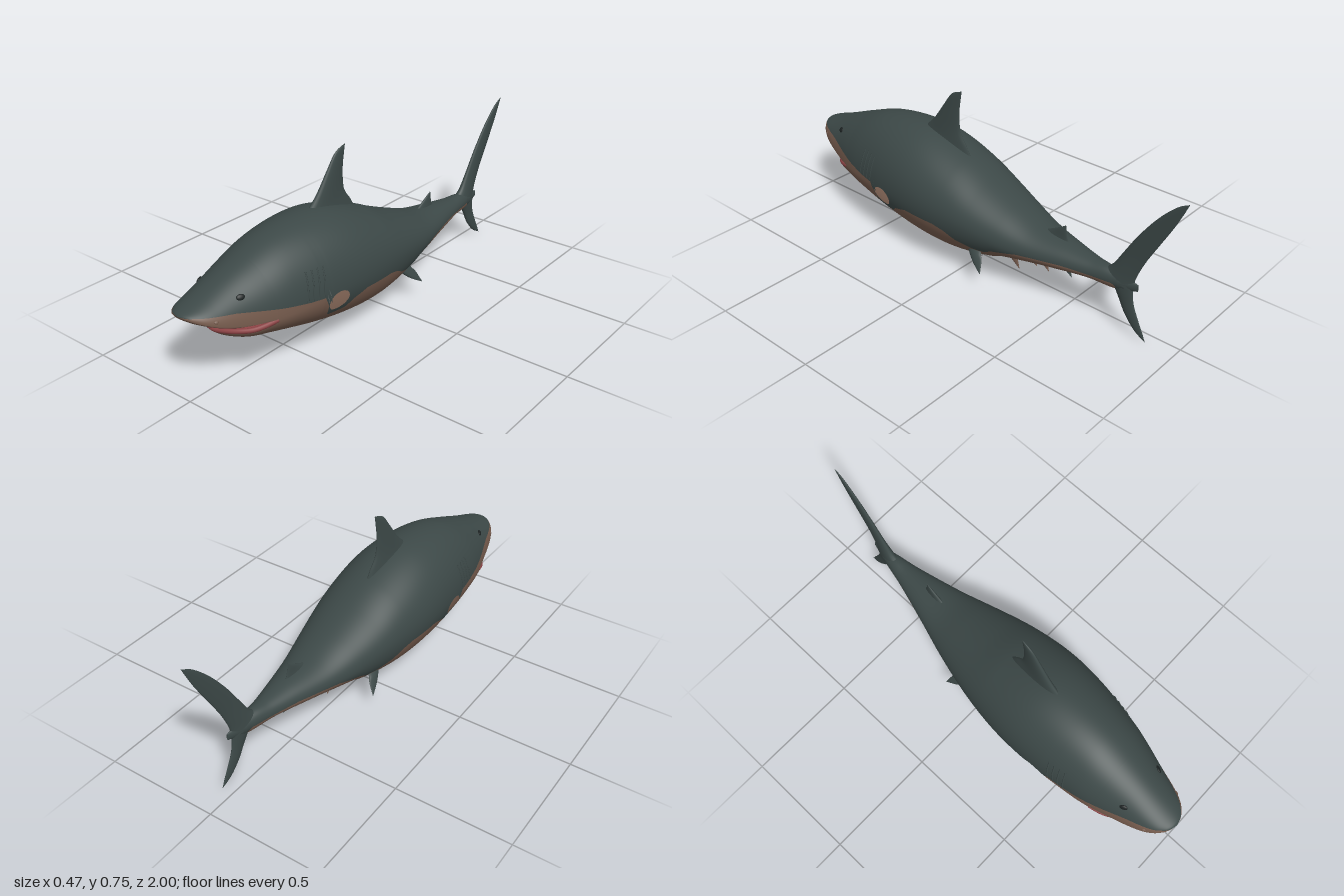
import * as THREE from 'three';

const mat = (name, color, side = THREE.DoubleSide) => {
  const m = new THREE.MeshStandardMaterial({ color, side });
  m.name = name;
  return m;
};

// Smooth curve through [position, value] keys, ascending
function track(keys) {
  const n = keys.length - 1;
  const slope = (i) => {
    const a = keys[Math.max(i - 1, 0)], b = keys[Math.min(i + 1, n)];
    return (b[1] - a[1]) / (b[0] - a[0]);
  };
  return (x) => {
    let i = 0;
    while (i < n - 1 && x > keys[i + 1][0]) i++;
    const [x0, v0] = keys[i], [x1, v1] = keys[i + 1], d = x1 - x0;
    const t = Math.min(Math.max((x - x0) / d, 0), 1), s = 1 - t;
    return v0 * (1 + 2 * t) * s * s + slope(i) * d * t * s * s
      + v1 * t * t * (3 - 2 * t) - slope(i + 1) * d * t * t * s;
  };
}

// Straight-line version for the hard colour border
const steps = (keys) => (x) => {
  let i = 0;
  while (i < keys.length - 2 && x > keys[i + 1][0]) i++;
  const [a, va] = keys[i], [b, vb] = keys[i + 1];
  return va + (vb - va) * Math.min(Math.max((x - a) / (b - a), 0), 1);
};

const midX = (z) => 0.013 - 0.043 * z; // slight sideways bend of the spine

const width = track([[-0.82, 0.004], [-0.75, 0.022], [-0.7, 0.034], [-0.6, 0.055], [-0.4, 0.108], [-0.2, 0.165],
  [0, 0.21], [0.2, 0.233], [0.4, 0.227], [0.6, 0.2], [0.69, 0.18], [0.8, 0.146], [0.9, 0.113],
  [0.95, 0.086], [0.98, 0.055], [0.993, 0.03], [1, 0.002]]);
const top = track([[-0.82, 0.24], [-0.68, 0.265], [-0.61, 0.267], [-0.5, 0.28], [-0.34, 0.303], [-0.21, 0.348],
  [-0.075, 0.403], [0.06, 0.465], [0.25, 0.525], [0.4, 0.535], [0.567, 0.513], [0.727, 0.457],
  [0.89, 0.392], [0.96, 0.367], [0.99, 0.355], [1, 0.347]]);
const bottom = track([[-0.82, 0.21], [-0.72, 0.182], [-0.61, 0.183], [-0.5, 0.172], [-0.34, 0.148], [-0.21, 0.118],
  [-0.155, 0.092], [-0.02, 0.059], [0.11, 0.048], [0.3, 0.064], [0.46, 0.096], [0.62, 0.139], [0.69, 0.157]]);
const middle = track([[-0.82, 0.225], [-0.7, 0.222], [-0.3, 0.22], [0, 0.26], [0.3, 0.28], [0.6, 0.266], [0.69, 0.262]]);
const colourLine = steps([[-0.82, 0.18], [-0.74, 0.18], [-0.72, 0.215], [-0.5, 0.22], [-0.31, 0.21], [-0.19, 0.18],
  [-0.15, 0.157], [-0.1, 0.157], [-0.02, 0.18], [0.03, 0.21], [0.085, 0.225], [0.245, 0.23], [0.32, 0.205],
  [0.35, 0.175], [0.44, 0.175], [0.46, 0.23], [0.475, 0.275], [0.54, 0.28], [0.67, 0.3], [0.84, 0.333], [0.97, 0.346], [1, 0.346]]);

const headMid = track([[0.69, 0.262], [0.8, 0.272], [0.89, 0.295], [0.96, 0.325], [1, 0.347]]);
const headLow = track([[0.69, 0.262], [0.78, 0.262], [0.835, 0.262], [0.89, 0.28], [0.96, 0.312], [0.99, 0.332], [1, 0.346]]);
const jawMid = track([[0.69, 0.262], [0.77, 0.246], [0.83, 0.236], [0.845, 0.226]]);
const jawLow = track([[0.69, 0.157], [0.755, 0.175], [0.81, 0.194], [0.835, 0.208], [0.845, 0.225]]);
const jawWidth = track([[0.69, 0.18], [0.74, 0.164], [0.78, 0.142], [0.815, 0.1], [0.835, 0.055], [0.845, 0.002]]);

// Sections: half width, middle height, height above and below the middle, colour border
const bodySection = (z) => ({ w: width(z), yc: middle(z), hu: top(z) - middle(z), hl: middle(z) - bottom(z), line: colourLine(z) });
const headSection = (z) => ({ w: width(z), yc: headMid(z), hu: top(z) - headMid(z), hl: headMid(z) - headLow(z), line: colourLine(z) });
const jawSection = (z) => ({ w: jawWidth(z), yc: jawMid(z), hu: 0.0005, hl: jawMid(z) - jawLow(z), line: jawMid(z) });

function sidePoint(section, z, y, side) {
  const s = section(z), v = (y - s.yc) / (y > s.yc ? s.hu : s.hl);
  return new THREE.Vector3(midX(z) + side * s.w * Math.sqrt(Math.max(0, 1 - v * v)), y, z);
}

// Round openings in both flanks
const hole = { z: 0.402, y: 0.235, rz: 0.052, ry: 0.041 };

// Closed loft with an upper and a lower colour
function loft(name, section, z0, z1, rows, materials, open = false) {
  const K = 72, M = 120, pos = [], dist = [], groups = [[], []];
  for (let i = 0; i <= rows; i++) {
    const t = i / rows, z = z0 + (z1 - z0) * (open ? t : Math.sin(t * Math.PI / 2));
    const s = section(z), d = s.line - s.yc;
    const aL = Math.acos(THREE.MathUtils.clamp(d / (d > 0 ? s.hu : s.hl), -0.999, 0.999));
    for (let j = 0; j < M; j++) {
      const a = j <= K ? -aL + 2 * aL * j / K : aL + (2 * Math.PI - 2 * aL) * (j - K) / (M - K);
      const c = Math.cos(a);
      let p = new THREE.Vector3(midX(z) + s.w * Math.sin(a), s.yc + c * (c > 0 ? s.hu : s.hl), z);
      let r = 9;
      if (open) {
        const dz = (z - hole.z) / hole.rz, dy = (p.y - hole.y) / hole.ry;
        r = Math.hypot(dz, dy);
        if (r > 0.8 && r < 1.14) {
          p = sidePoint(section, hole.z + dz / r * hole.rz, hole.y + dy / r * hole.ry, Math.sign(Math.sin(a)));
          r = 1;
        }
      }
      pos.push(p.x, p.y, p.z);
      dist.push(r);
    }
  }
  for (let i = 0; i < rows; i++) for (let j = 0; j < M; j++) {
    const p = i * M + j, q = i * M + (j + 1) % M, r = p + M, s = q + M;
    for (const tri of [[p, r, q], [q, r, s]])
      if (tri.some((k) => dist[k] > 1.001)) groups[j < K ? 0 : 1].push(...tri);
  }
  const g = new THREE.BufferGeometry();
  g.setAttribute('position', new THREE.Float32BufferAttribute(pos, 3));
  g.setIndex([...groups[0], ...groups[1]]);
  g.addGroup(0, groups[0].length, 0);
  g.addGroup(groups[0].length, groups[1].length, 1);
  g.computeVertexNormals();
  const mesh = new THREE.Mesh(g, materials);
  mesh.name = name;
  return mesh;
}

// Fin from rows of [front z, front y, rear z, rear y, half thickness], root to tip
function fin(name, rows, material, xOf = midX) {
  const cols = [0, 1, 2, 3, 4].map((c) => track(rows.map((r, i) => [i, r[c]])));
  const N = 24, M = 20, pos = [], index = [];
  for (let i = 0; i <= N; i++) {
    const [zl, yl, zt, yt, th] = cols.map((f) => f(i / N * (rows.length - 1)));
    for (let j = 0; j < M; j++) {
      const a = j / M * Math.PI * 2, c = (1 - Math.cos(a)) / 2;
      const z = zl + (zt - zl) * c;
      pos.push(xOf(z) + Math.max(th, 0) * Math.sin(a) * (1.2 - 0.5 * c), yl + (yt - yl) * c, z);
      if (i < N) {
        const p = i * M + j, q = i * M + (j + 1) % M;
        index.push(p, q, p + M, q, q + M, p + M);
      }
    }
  }
  const g = new THREE.BufferGeometry();
  g.setAttribute('position', new THREE.Float32BufferAttribute(pos, 3));
  g.setIndex(index);
  g.computeVertexNormals();
  const mesh = new THREE.Mesh(g, material);
  mesh.name = name;
  return mesh;
}

export function createModel() {
  const model = new THREE.Group();
  model.name = 'shark';
  const grey = mat('slate grey skin', 0x3c4847), brown = mat('brown belly', 0x745a4c);
  const red = mat('red mouth', 0x8e4446), dark = mat('dark eye', 0x1c2222);

  // Body, snout and lower jaw
  model.add(loft('body', bodySection, -0.82, 0.69, 170, [grey, brown], true));
  model.add(loft('snout', headSection, 0.69, 1, 50, [grey, brown]));
  model.add(loft('lowerJaw', jawSection, 0.69, 0.845, 30, [red, brown]));

  // Lower lip around the jaw rim
  const rim = [0.69, 0.74, 0.78, 0.815, 0.835].map((z) => [z, jawWidth(z)]);
  const lipPoints = [...rim.map(([z, w]) => [z, w - 0.006]), [0.843, 0], ...rim.reverse().map(([z, w]) => [z, 0.006 - w])]
    .map(([z, x]) => new THREE.Vector3(midX(z) + x, jawMid(z) - 0.004, z - 0.004));
  const lip = new THREE.Mesh(new THREE.TubeGeometry(new THREE.CatmullRomCurve3(lipPoints), 60, 0.01, 10), red);
  lip.name = 'lowerLip';
  model.add(lip);

  // Back and tail fins
  model.add(fin('dorsalFin', [[0.37, 0.49, 0.05, 0.44, 0.032], [0.325, 0.53, 0.08, 0.495, 0.022], [0.275, 0.58, 0.12, 0.555, 0.017],
    [0.22, 0.655, 0.127, 0.64, 0.012], [0.17, 0.72, 0.118, 0.71, 0.007], [0.115, 0.745, 0.112, 0.743, 0.001]], grey));
  model.add(fin('secondDorsalFin', [[-0.34, 0.28, -0.49, 0.26, 0.014], [-0.39, 0.307, -0.475, 0.29, 0.009],
    [-0.425, 0.327, -0.467, 0.318, 0.006], [-0.46, 0.349, -0.464, 0.347, 0.001]], grey));
  model.add(fin('upperTailFin', [[-0.66, 0.25, -0.8, 0.2, 0.026], [-0.7, 0.285, -0.805, 0.255, 0.02], [-0.74, 0.35, -0.84, 0.345, 0.014],
    [-0.8, 0.45, -0.893, 0.445, 0.011], [-0.877, 0.556, -0.947, 0.545, 0.008], [-0.95, 0.632, -0.98, 0.615, 0.005], [-1, 0.663, -0.999, 0.66, 0.001]], grey));
  model.add(fin('lowerTailFin', [[-0.68, 0.235, -0.8, 0.26, 0.022], [-0.715, 0.185, -0.8, 0.19, 0.017], [-0.74, 0.14, -0.808, 0.14, 0.012],
    [-0.77, 0.085, -0.832, 0.085, 0.009], [-0.82, 0.03, -0.857, 0.035, 0.006], [-0.873, 0, -0.871, 0.003, 0.001]], grey));

  // Ragged small fins under the tail
  for (const [z, y, length, drop] of [[-0.13, 0.12, 0.08, 0.085], [-0.25, 0.15, 0.06, 0.058], [-0.32, 0.155, 0.055, 0.058], [-0.44, 0.18, 0.055, 0.056]])
    model.add(fin('undersideFin', [[z, y, z - length, y, 0.016], [z - length * 0.5, y - drop * 0.5, z - length * 1.02, y - drop * 0.45, 0.009],
      [z - length * 1.15, y - drop, z - length * 1.17, y - drop, 0.001]], z < -0.4 ? grey : brown));

  for (const side of [1, -1]) {
    const sideName = side > 0 ? 'left' : 'right';
    // Pelvic fins
    const pelvic = fin(sideName + 'PelvicFin', [[0.05, 0.04, -0.045, 0.04, 0.016], [0.01, -0.01, -0.055, -0.005, 0.012],
      [-0.03, -0.05, -0.07, -0.03, 0.007], [-0.082, -0.085, -0.084, -0.083, 0.001]], grey, () => 0);
    pelvic.position.set(0.018 + side * 0.148, 0.148, -0.08);
    pelvic.rotation.z = side * 0.52;
    model.add(pelvic);

    // Eyes and nostrils
    for (const [part, z, y, size, material] of [['Eye', 0.8, 0.378, 0.017, dark], ['Nostril', 0.915, 0.323, 0.009, brown]]) {
      const m = new THREE.Mesh(new THREE.SphereGeometry(size, 20, 14), material);
      m.name = sideName + part;
      m.position.copy(sidePoint(headSection, z, y, side));
      m.scale.set(0.35, 0.7, 1);
      m.rotation.set(0, -side * 0.4, side * 0.5);
      model.add(m);
    }

    // Gill folds
    for (let k = 0; k < 4; k++) {
      const pts = [0.285, 0.32, 0.36, 0.4].map((y, i) => sidePoint(bodySection, 0.56 - k * 0.026 - i * 0.006, y, side));
      const gill = new THREE.Mesh(new THREE.TubeGeometry(new THREE.CatmullRomCurve3(pts), 16, 0.0035, 6), grey);
      gill.name = sideName + 'GillFold';
      model.add(gill);
    }
  }
  return model;
}
